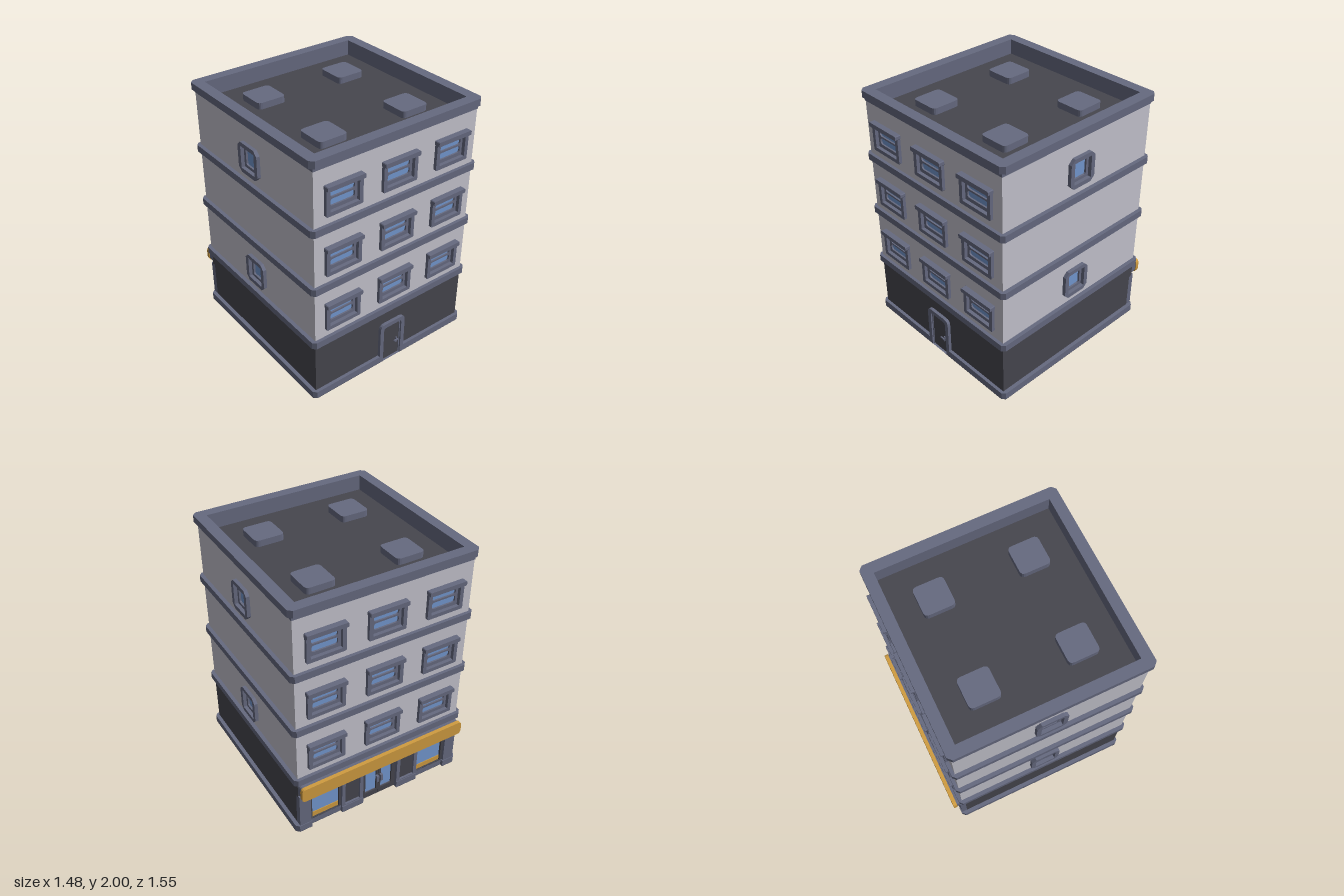
import * as THREE from 'three';

const mat = (name, color) => {
  const m = new THREE.MeshStandardMaterial({ color });
  m.name = name;
  return m;
};

// Rectangle outline with cut or rounded corners
function outline(cx, cy, w, h, c = 0, round = false, Type = THREE.Shape) {
  const p = new Type(), x = w / 2, y = h / 2;
  const go = (ax, ay, bx, by) => {
    if (round) p.quadraticCurveTo(cx + ax, cy + ay, cx + bx, cy + by);
    else p.lineTo(cx + bx, cy + by);
  };
  p.moveTo(cx - x + c, cy - y);
  p.lineTo(cx + x - c, cy - y);
  if (c) go(x, -y, x, -y + c);
  p.lineTo(cx + x, cy + y - c);
  if (c) go(x, y, x - c, y);
  p.lineTo(cx - x + c, cy + y);
  if (c) go(-x, y, -x, y - c);
  p.lineTo(cx - x, cy - y + c);
  if (c) go(-x, -y, -x + c, -y);
  p.closePath();
  return p;
}
const hole = (cx, cy, w, h, c, round) => outline(cx, cy, w, h, c, round, THREE.Path);

export function createModel() {
  const light = mat('pale wall', 0xc4c3cd);
  const trim = mat('slate trim', 0x666a80);
  const dark = mat('dark wall', 0x46464e);
  const glass = mat('blue glass', 0x7398d0);
  const gold = mat('golden sign', 0xd09c40);

  const model = new THREE.Group();
  model.name = 'building';
  const body = new THREE.Group();
  body.name = 'buildingBody';
  body.position.z = 0.015;
  model.add(body);

  const add = (parent, name, geo, material) => {
    const m = new THREE.Mesh(geo, material);
    m.name = name;
    parent.add(m);
    return m;
  };
  // Upright plate from z0 to z1
  const plate = (parent, name, shape, holes, z0, z1, material) => {
    shape.holes.push(...holes);
    const g = new THREE.ExtrudeGeometry(shape, { depth: z1 - z0, bevelEnabled: false, curveSegments: 4 });
    return add(parent, name, g.translate(0, 0, z0), material);
  };
  // Floor plan extruded from y0 to y1
  const slab = (name, shape, holes, y0, y1, material) => {
    shape.holes.push(...holes);
    const g = new THREE.ExtrudeGeometry(shape, { depth: y1 - y0, bevelEnabled: false, curveSegments: 4 });
    return add(body, name, g.rotateX(-Math.PI / 2).translate(0, y0, 0), material);
  };
  const box = (parent, name, w, h, d, x, y, z, material) =>
    add(parent, name, new THREE.BoxGeometry(w, h, d).translate(x, y, z), material);
  // Group whose +z points out of one side of the building
  const side = (name, angle) => {
    const g = new THREE.Group();
    g.name = name;
    g.rotation.y = angle;
    body.add(g);
    return g;
  };

  const W = 0.715, rows = [0.72, 1.195, 1.672], columns = [-0.475, 0, 0.475];
  const front = side('frontFace', 0), back = side('backFace', Math.PI);

  // Ground storey
  box(body, 'groundStorey', 1.42, 0.48, 1.405, 0, 0.25, 0.0125, dark);

  // Plinth with gaps at the doors and shop windows
  const plan = [[-0.715, -0.74], [-0.085, -0.74], [-0.085, -0.72], [0.085, -0.72], [0.085, -0.74],
    [0.715, -0.74], [0.74, -0.715], [0.74, 0.715], [0.715, 0.74], [0.61, 0.74], [0.61, 0.715],
    [0.345, 0.715], [0.345, 0.74], [0.155, 0.74], [0.155, 0.7], [-0.155, 0.7], [-0.155, 0.74],
    [-0.345, 0.74], [-0.345, 0.715], [-0.61, 0.715], [-0.61, 0.74], [-0.715, 0.74], [-0.74, 0.715],
    [-0.74, -0.715]].map(([x, y]) => new THREE.Vector2(x, y));
  slab('plinth', new THREE.Shape(plan), [], 0.002, 0.06, trim);
  slab('underside', new THREE.Shape(plan), [], 0, 0.002, dark);

  // Storey bands
  for (const y of [0.485, 0.96, 1.435])
    slab('storeyBand', outline(0, 0, 1.48, 1.48, 0.025), [], y, y + 0.055, trim);

  // Roof with parapet and raised hatches
  const well = () => hole(0, 0, 1.31, 1.315);
  slab('parapetCap', outline(0, 0, 1.48, 1.48, 0.03), [well()], 1.945, 2, trim);
  slab('cornice', outline(0, 0, 1.428, 1.438), [well()], 1.915, 1.945, trim);
  slab('parapetLining', outline(0, 0, 1.325, 1.33), [well()], 1.86, 1.915, trim);
  box(body, 'roofDeck', 1.33, 0.03, 1.33, 0, 1.865, 0, dark);
  for (const x of [-0.357, 0.357]) for (const y of [-0.357, 0.357])
    slab('roofHatch', outline(x, y, 0.23, 0.23, 0.035, true), [], 1.87, 1.93, trim);

  // Wide windows in three rows on the front and back walls
  function wideWindow(parent, x, y) {
    const g = new THREE.Group();
    g.name = 'wideWindow';
    g.position.set(x, y, W);
    parent.add(g);
    plate(g, 'windowFrame', outline(0, 0, 0.3, 0.23, 0.006), [hole(0, -0.003, 0.24, 0.165)], -0.03, 0.025, trim);
    plate(g, 'windowSash', outline(0, 0, 0.25, 0.18),
      [-0.032, 0.034].map(v => hole(0, v, 0.2, 0.052, 0.022, true)), -0.02, -0.002, trim);
    plate(g, 'windowGlass', outline(0, 0, 0.22, 0.14), [], -0.022, -0.015, glass);
    plate(g, 'windowHood', outline(0, 0.1, 0.308, 0.034, 0.005), [], 0, 0.045, trim);
  }
  for (const face of [front, back]) {
    const openings = [];
    for (const y of rows) for (const x of columns) {
      openings.push(hole(x, y, 0.28, 0.21));
      wideWindow(face, x, y);
    }
    plate(face, 'upperWall', outline(0, 1.2125, 1.42, 1.405), openings, W - 0.05, W, light);
  }

  // Side walls with a small window on the first and third upper storeys
  for (const s of [-1, 1]) {
    const face = side(s > 0 ? 'leftFace' : 'rightFace', s * Math.PI / 2);
    const ys = [rows[0], rows[2]];
    plate(face, 'upperWall', outline(0, 1.2125, 1.43, 1.405), ys.map(y => hole(0, y, 0.21, 0.21, 0.03)), 0.66, 0.71, light);
    for (const y of ys) {
      plate(face, 'smallWindowFrame', outline(0, y, 0.235, 0.235, 0.035), [hole(0, y, 0.165, 0.17)], 0.68, 0.738, trim);
      plate(face, 'smallWindowSash', outline(0, y, 0.18, 0.18), [hole(0, y, 0.12, 0.125, 0.008)], 0.69, 0.71, trim);
      plate(face, 'smallWindowGlass', outline(0, y, 0.15, 0.15), [], 0.688, 0.695, glass);
    }
  }

  // Front door with arched surround and handle
  const arch = (w, h, r, Type) => {
    const p = new Type(), x = w / 2;
    p.moveTo(-x, 0.002);
    p.lineTo(x, 0.002);
    p.lineTo(x, h - r);
    p.quadraticCurveTo(x, h, x - r, h);
    p.lineTo(-x + r, h);
    p.quadraticCurveTo(-x, h, -x, h - r);
    p.closePath();
    return p;
  };
  plate(front, 'doorSurround', arch(0.24, 0.365, 0.045, THREE.Shape), [arch(0.172, 0.33, 0.025, THREE.Path)], 0.7, 0.74, trim);
  plate(front, 'doorLining', arch(0.172, 0.33, 0.025, THREE.Shape), [arch(0.155, 0.315, 0.02, THREE.Path)], 0.7, 0.727, trim);
  plate(front, 'door', arch(0.165, 0.32, 0.02, THREE.Shape), [], 0.7, 0.722, dark);
  box(front, 'doorHandlePlate', 0.012, 0.045, 0.012, 0.053, 0.14, 0.725, trim);
  box(front, 'doorHandle', 0.04, 0.01, 0.01, 0.042, 0.147, 0.738, trim);

  // Shop front: pillars, display windows and glazed double door
  for (const s of [-1, 1]) {
    box(back, 'endPillar', 0.095, 0.36, 0.05, s * 0.6625, 0.182, 0.71, trim);
    plate(back, 'panelledPillar', outline(s * 0.25, 0.21, 0.19, 0.416), [hole(s * 0.25, 0.2, 0.13, 0.26)], 0.685, 0.735, trim);
    plate(back, 'pillarPanel', outline(s * 0.25, 0.2, 0.14, 0.27), [], 0.69, 0.718, dark);
    plate(back, 'displayFrame', outline(s * 0.4775, 0.245, 0.275, 0.38), [hole(s * 0.4775, 0.2, 0.235, 0.28)], 0.685, 0.715, dark);
    plate(back, 'displayGlass', outline(s * 0.4775, 0.2, 0.24, 0.285), [], 0.688, 0.697, glass);
    box(back, 'displayStripe', 0.235, 0.045, 0.006, s * 0.4775, 0.0825, 0.699, gold);
    plate(back, 'shopDoorLeaf', outline(s * 0.078, 0.215, 0.154, 0.42), [hole(s * 0.07, 0.195, 0.1, 0.28)], 0.685, 0.71, dark);
    plate(back, 'shopDoorGlass', outline(s * 0.07, 0.195, 0.105, 0.285), [], 0.688, 0.697, glass);
    box(back, 'shopDoorHandle', 0.02, 0.06, 0.025, s * 0.018, 0.18, 0.72, trim);
  }
  box(back, 'shopLintel', 1.42, 0.14, 0.04, 0, 0.42, 0.695, dark);

  // Shop sign
  plate(back, 'signBacking', outline(0, 0.422, 1.42, 0.105, 0.03, true), [], 0.705, 0.76, trim);
  plate(back, 'signBoard', outline(0, 0.422, 1.43, 0.118, 0.035, true), [], 0.76, 0.79, gold);

  return model;
}
